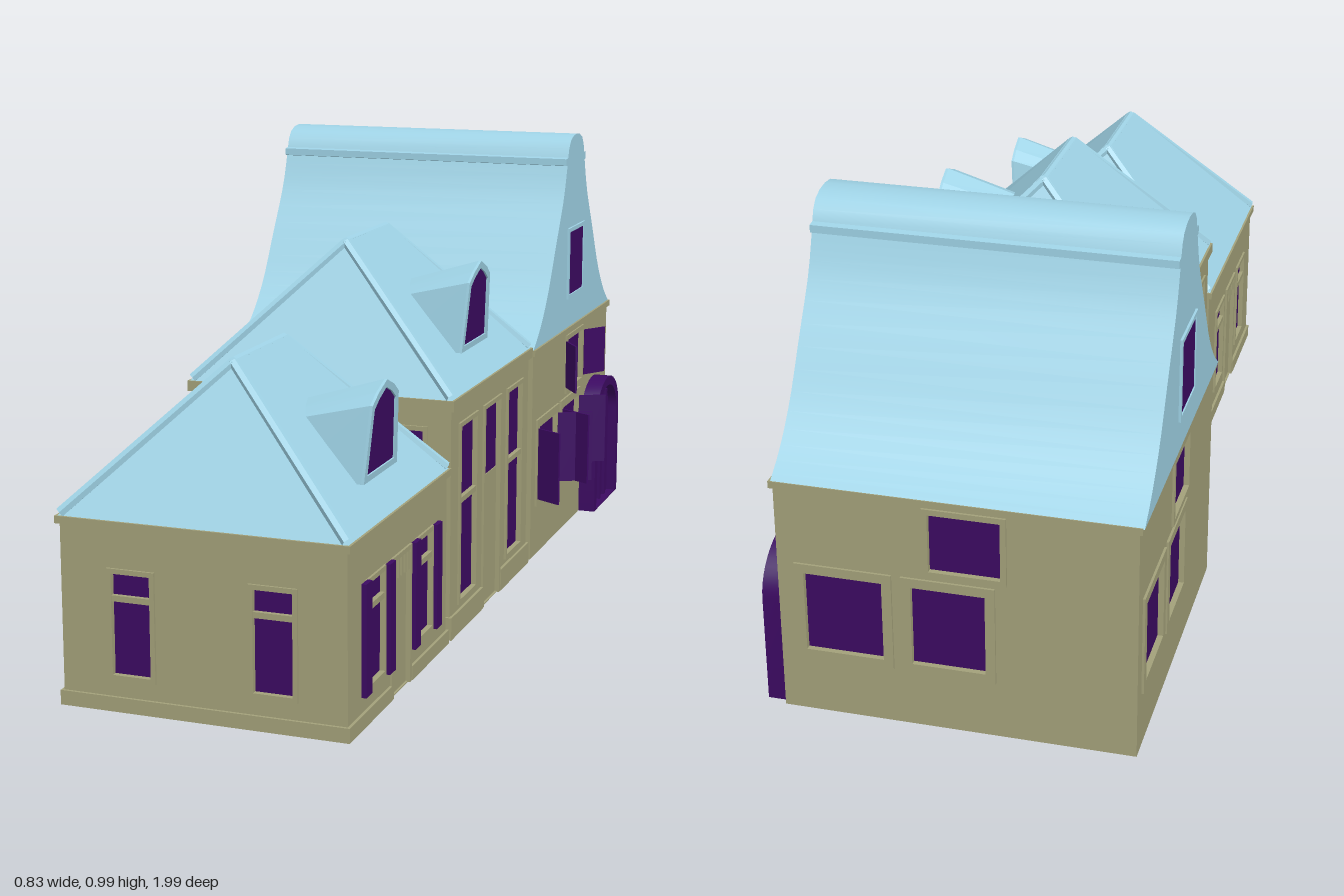
import * as THREE from 'three';
import { toCreasedNormals } from 'three/addons/utils/BufferGeometryUtils.js';

const wallMat = new THREE.MeshStandardMaterial({ color: 0xa3a17a });
const roofMat = new THREE.MeshStandardMaterial({ color: 0x9fd3e6 });
const darkMat = new THREE.MeshStandardMaterial({ color: 0x3c0a62 });
const THICK = 0.012;
const WALLS = ['frontWall', 'rightWall', 'backWall', 'leftWall'];

function add(parent, name, geo, mat, x = 0, y = 0, z = 0) {
  const m = new THREE.Mesh(geo, mat);
  m.name = name;
  m.position.set(x, y, z);
  parent.add(m);
  return m;
}
const box = (w, h, d) => new THREE.BoxGeometry(w, h, d);
const poly = (pts) => new THREE.Shape(pts.map(([x, y]) => new THREE.Vector2(x, y)));
const rect = ([a, b, c, d]) => poly([[a, c], [b, c], [b, d], [a, d]]);
const extrude = (shape, depth) => new THREE.ExtrudeGeometry(shape, { depth, bevelEnabled: false, curveSegments: 10 });

// Group whose +z points out of side k (0 front, 1 right, 2 back, 3 left)
function side(parent, k, dist, name) {
  const g = new THREE.Group();
  const a = k * Math.PI / 2;
  g.name = name;
  g.rotation.y = a;
  g.position.set(Math.sin(a) * dist, 0, Math.cos(a) * dist);
  parent.add(g);
  return g;
}

// Raised frame, pane and optional crossbar for an opening [x0, x1, y0, y1]
function windowIn(g, [x0, x1, y0, y1], { bar, mat = wallMat, paneZ = -0.009, rim = 0.01 } = {}) {
  const ring = rect([x0 - rim, x1 + rim, y0 - rim, y1 + rim]);
  ring.holes.push(rect([x0, x1, y0, y1]));
  add(g, 'windowFrame', extrude(ring, 0.005), mat);
  add(g, 'windowPane', box(x1 - x0, y1 - y0, 0.004), darkMat, (x0 + x1) / 2, (y0 + y1) / 2, paneZ);
  if (bar) add(g, 'windowBar', box(x1 - x0, 0.012, 0.012), mat, (x0 + x1) / 2, bar, -0.003);
}

// Wall sheet with its openings cut out
function wallSheet(g, half, height, openings) {
  const s = rect([-half, half, 0, height]);
  openings.forEach((o) => s.holes.push(rect(o)));
  add(g, 'wall', extrude(s, THICK), wallMat, 0, 0, -THICK);
}

// Door with a glazed light above it
function doorIn(g, half, doorTop, y1, bars) {
  const ring = poly([[-half - 0.01, 0], [-half, 0], [-half, y1], [half, y1], [half, 0],
    [half + 0.01, 0], [half + 0.01, y1 + 0.01], [-half - 0.01, y1 + 0.01]]);
  add(g, 'doorFrame', extrude(ring, 0.005), wallMat);
  add(g, 'door', box(half * 2, doorTop, 0.006), wallMat, 0, doorTop / 2, -0.008);
  add(g, 'doorLight', box(half * 2, y1 - doorTop, 0.004), darkMat, 0, (y1 + doorTop) / 2, -0.009);
  for (let i = 0; i <= bars && bars; i++)
    add(g, 'doorLightBar', box(0.008, y1 - doorTop, 0.01), wallMat, -half + (i / bars) * half * 2, (y1 + doorTop) / 2, -0.003);
}

// Hipped roof with capped hips and a ridge
function hipRoof(parent, y0, y1, half, ridge) {
  const geo = box(half * 2, y1 - y0, half * 2).toNonIndexed();
  const p = geo.attributes.position;
  for (let i = 0; i < p.count; i++)
    if (p.getY(i) > 0) p.setXYZ(i, Math.sign(p.getX(i)) * 0.008, p.getY(i), Math.sign(p.getZ(i)) * ridge);
  geo.computeVertexNormals();
  add(parent, 'roof', geo, roofMat, 0, (y0 + y1) / 2, 0);
  const cap = (a, b) => add(parent, 'roofCap',
    toCreasedNormals(new THREE.TubeGeometry(new THREE.LineCurve3(a, b), 1, 0.011, 6), 0.3), roofMat);
  const V = (x, y, z) => new THREE.Vector3(x, y, z);
  for (const s of [-1, 1])
    for (const t of [-1, 1]) cap(V(s * (half - 0.004), y0 + 0.005, t * (half - 0.004)), V(0, y1 - 0.007, t * ridge));
  cap(V(0, y1 - 0.007, -ridge), V(0, y1 - 0.007, ridge));
}

// Roof dormer: leaning front tapering back into the slope
function dormer(parent, roofBase) {
  const g = side(parent, 1, 0.25, 'dormer');
  g.position.y = roofBase + 0.06;
  const outline = [[-0.097, 0], [0.097, 0], [0.076, 0.152], [0.045, 0.172], [0, 0.19], [-0.045, 0.172], [-0.076, 0.152]];
  const inner = outline.map(([x, y]) => [x * 0.82, 0.013 + y * 0.85]);
  const shaped = (geo) => {
    const p = geo.attributes.position;
    for (let i = 0; i < p.count; i++) {
      const x = p.getX(i), y = p.getY(i), z = p.getZ(i), back = z < -0.1;
      p.setXYZ(i, back ? x * 0.84 : x, back ? y * 0.72 : y, z + (back ? 0 : y * 0.07));
    }
    geo.computeVertexNormals();
    return geo;
  };
  add(g, 'dormerBody', shaped(extrude(poly(outline), 0.16).translate(0, 0, -0.16)), roofMat);
  const ring = poly(outline);
  ring.holes.push(poly(inner));
  add(g, 'dormerFrame', shaped(extrude(ring, 0.006)), roofMat);
  add(g, 'dormerWindow', shaped(extrude(poly(inner), 0.002)), darkMat);
}

// Square hip-roofed house: doors on the right and left, two windows on every wall
function hipHouse(name, z, o) {
  const h = new THREE.Group();
  h.name = name;
  h.position.set(0.023, 0, z);
  const half = 0.297;
  for (let k = 0; k < 4; k++) {
    const g = side(h, k, half, WALLS[k]);
    const flank = k % 2 === 1;
    const [a, b] = flank ? o.flankSpan : o.endSpan;
    const wins = [[-b, -a, o.y0, o.y1], [a, b, o.y0, o.y1]];
    wallSheet(g, half, o.wall, flank ? [...wins, [-o.door, o.door, 0.002, o.doorY1]] : wins);
    wins.forEach((w) => windowIn(g, w, { bar: o.bar }));
    if (flank) {
      doorIn(g, o.door, o.doorTop, o.doorY1, o.doorBars);
      const w = half - o.door - 0.012;
      for (const s of [-1, 1]) add(g, 'plinth', box(w, o.plinth, 0.01), wallMat, s * (half - w / 2), o.plinth / 2, 0.001);
    } else add(g, 'plinth', box(half * 2 + 0.012, o.plinth, 0.01), wallMat, 0, o.plinth / 2, 0.001);
    add(g, 'cornice', box(0.61, o.eave - o.wall, 0.03), wallMat, 0, (o.eave + o.wall) / 2, -0.007);
    // Window shutters on the right
    if (k === 1 && o.shutters)
      for (const s of [-1, 1]) for (const u of [a - 0.022, b + 0.022])
        add(g, 'shutter', box(0.033, 0.225, 0.01), darkMat, s * u, 0.178, 0.008);
  }
  hipRoof(h, o.eave, o.top, 0.3, 0.13);
  dormer(h, o.eave);
  return h;
}

// Large house with a bell-shaped gable roof
function bellHouse() {
  const h = new THREE.Group();
  h.name = 'bellGableHouse';
  h.position.set(-0.04, 0, -0.625);
  const half = 0.363;
  const wins = [[-0.308, -0.148, 0.143, 0.317], [-0.089, 0.061, 0.143, 0.317], [-0.051, 0.093, 0.358, 0.483]];
  for (let k = 0; k < 4; k++) {
    const g = side(h, k, half, WALLS[k]);
    wallSheet(g, half, 0.502, wins);
    wins.forEach((w, i) => windowIn(g, w, { rim: i < 2 ? 0.02 : 0.012 }));
    add(g, 'cornice', box(0.74, 0.015, 0.03), wallMat, 0, 0.507, -0.008);
    if (k === 1) {
      openShutters(g);
      archDoor(g);
    }
  }
  // Gable windows
  for (const [k, dist] of [[1, 0.366], [3, 0.374]])
    windowIn(side(h, k, dist, 'gableWindow'), [-0.064, 0.07, 0.598, 0.755], { mat: roofMat, paneZ: 0 });
  // Roof profile: flared slopes, a ledge and a rounded crown
  const flank = new THREE.SplineCurve([[0.37, 0.513], [0.31, 0.557], [0.245, 0.63], [0.18, 0.735],
    [0.115, 0.84], [0.084, 0.92]].map(([x, y]) => new THREE.Vector2(x, y))).getPoints(14).map((p) => [p.x, p.y]);
  const crown = [[0.094, 0.922], [0.094, 0.938], [0.078, 0.94], [0.07, 0.962], [0.055, 0.979], [0.03, 0.989]];
  const right = [...flank, ...crown];
  const left = right.map(([x, y]) => [-x, y]).reverse();
  const roof = add(h, 'bellRoof', toCreasedNormals(extrude(poly([...right, [0, 0.992], ...left]), 0.738), 0.5), roofMat, -0.373);
  roof.rotation.y = Math.PI / 2;
  return h;
}

// Open shutters: [hinge, tip offset along the wall, reach outwards, bottom, top]
function openShutters(g) {
  const list = [[-0.318, -0.035, 0.062, 0.14, 0.315], [-0.14, 0.042, 0.078, 0.14, 0.315],
    [-0.095, -0.042, 0.078, 0.14, 0.315], [0.068, 0.033, 0.062, 0.14, 0.315],
    [-0.062, -0.06, 0.04, 0.363, 0.48], [0.105, 0.06, 0.04, 0.363, 0.48]];
  for (const [u, du, out, y0, y1] of list) {
    const m = add(g, 'openShutter', box(Math.hypot(du, out), y1 - y0, 0.005), darkMat, u + du / 2, (y0 + y1) / 2, 0.004 + out / 2);
    m.rotation.y = -Math.atan2(out, du);
  }
}

// Arched plank door with a projecting surround
function archDoor(g) {
  const arch = (r, base, spring, rise) => {
    const s = new THREE.Shape();
    s.moveTo(-r, base);
    s.lineTo(r, base);
    s.lineTo(r, spring);
    s.absellipse(0, spring, r, rise, 0, Math.PI, false);
    return s;
  };
  const door = new THREE.Group();
  door.name = 'archedDoor';
  door.position.set(0.227, 0, 0);
  g.add(door);
  const ring = arch(0.123, 0, 0.235, 0.1);
  ring.holes.push(arch(0.1, 0.003, 0.232, 0.08));
  add(door, 'doorSurround', toCreasedNormals(extrude(ring, 0.046), 0.5), darkMat, 0, 0, -0.004);
  add(door, 'doorLeaf', toCreasedNormals(extrude(arch(0.101, 0, 0.232, 0.081), 0.02), 0.5), darkMat);
  for (const x of [-0.05, 0, 0.05])
    add(door, 'doorBatten', box(0.012, x ? 0.29 : 0.305, 0.03), darkMat, x, x ? 0.147 : 0.154, 0.012);
}

export function createModel() {
  const model = new THREE.Group();
  model.name = 'houseRow';
  model.add(
    hipHouse('lowHouse', 0.687, {
      wall: 0.37, eave: 0.385, top: 0.682, y0: 0.075, y1: 0.28, bar: 0.23, plinth: 0.03,
      flankSpan: [0.1, 0.193], endSpan: [0.107, 0.188],
      door: 0.05, doorTop: 0.238, doorY1: 0.28, doorBars: 5, shutters: true,
    }),
    hipHouse('tallHouse', 0.065, {
      wall: 0.502, eave: 0.525, top: 0.828, y0: 0.072, y1: 0.455, bar: 0.292, plinth: 0.05,
      flankSpan: [0.122, 0.235], endSpan: [0.122, 0.235],
      door: 0.058, doorTop: 0.298, doorY1: 0.455, doorBars: 0,
    }),
    bellHouse(),
  );
  return model;
}
